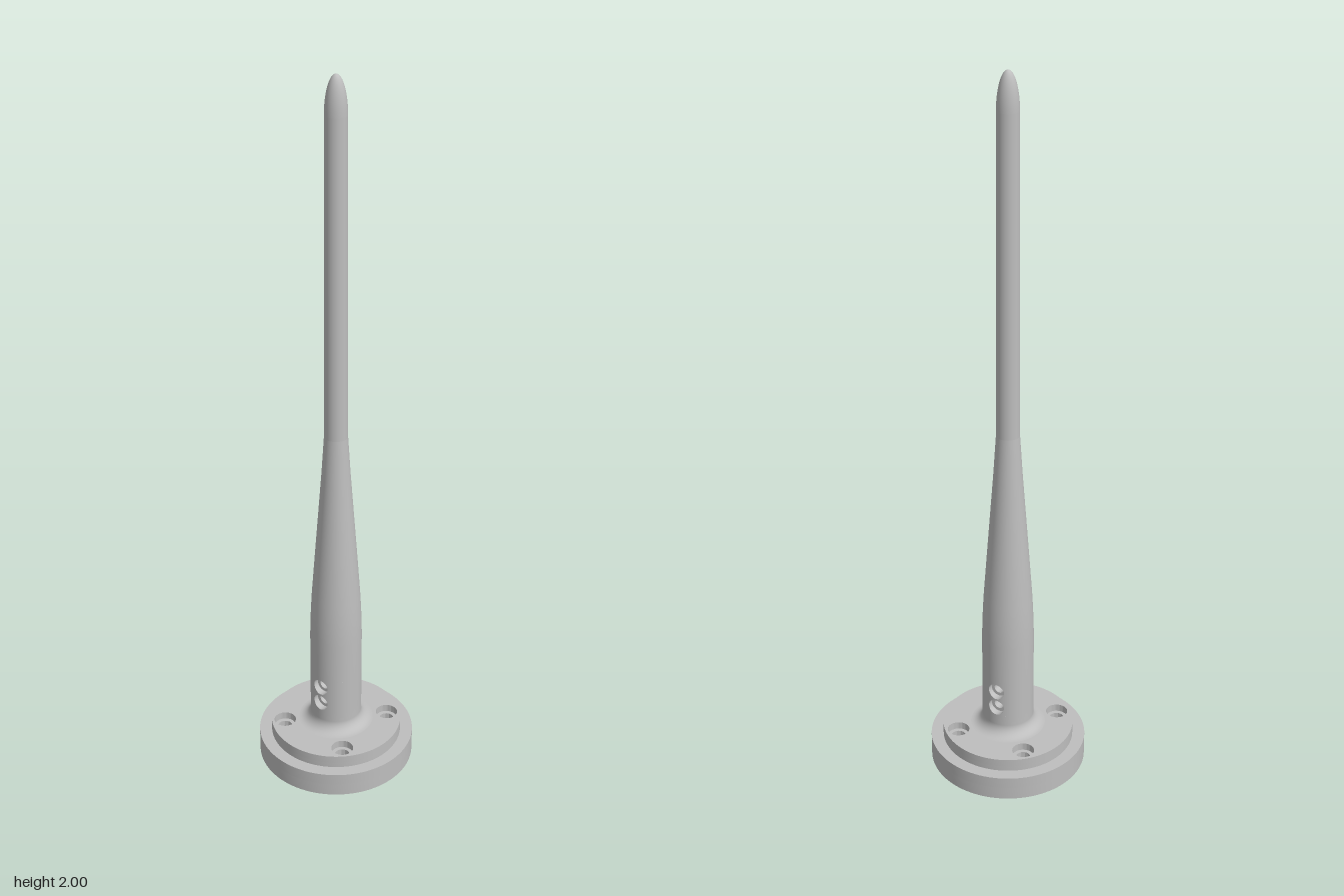
import * as THREE from 'three';
import { toCreasedNormals } from 'three/addons/utils/BufferGeometryUtils.js';

const R = 0.073;            // lower pole radius
const HOLE_YS = [0.198, 0.251];
const HALF = 0.0265;        // half size of the square skin patch round a hole
const BAND = [HOLE_YS[0] - HALF, HOLE_YS[1] + HALF];
const SEGS = 48;

export function createModel() {
  const model = new THREE.Group();
  const metal = new THREE.MeshStandardMaterial({ color: 0xbebebe });
  metal.name = 'grey metal';

  const add = (name, geometry, parent = model) => {
    const mesh = new THREE.Mesh(geometry, metal);
    mesh.name = name;
    parent.add(mesh);
    return mesh;
  };

  // Flat round layer with four bolt holes, or one large opening
  const layer = (name, radius, y0, y1, boltRadius, opening) => {
    const shape = new THREE.Shape().absarc(0, 0, radius, 0, Math.PI * 2);
    const cut = (x, y, r) => shape.holes.push(new THREE.Path().absarc(x, y, r, 0, Math.PI * 2, true));
    if (opening) cut(0, 0, opening);
    else for (const x of [-0.105, 0.105]) for (const y of [-0.105, 0.105]) cut(x, y, boltRadius);
    const g = new THREE.ExtrudeGeometry(shape, { depth: y1 - y0, bevelEnabled: false, curveSegments: 48 });
    g.rotateX(-Math.PI / 2).translate(0, y0, 0);
    add(name, toCreasedNormals(g, 0.6));
  };
  layer('baseRim', 0.222, 0, 0.037, 0, 0.187);
  layer('basePlate', 0.222, 0.037, 0.07, 0.02);
  layer('raisedDisc', 0.187, 0.07, 0.085, 0.02);
  layer('counterboredDisc', 0.187, 0.085, 0.107, 0.031);

  const lathe = (name, pts, start = 0, length = Math.PI * 2, segs = 64) =>
    add(name, new THREE.LatheGeometry(pts.map(p => new THREE.Vector2(...p)), segs, start, length));

  // Fillet from the disc into the pole
  const f = 0.034;
  const fillet = [];
  for (let i = 0; i <= 10; i++) {
    const a = (i / 10) * Math.PI / 2;
    fillet.push([R + f * (1 - Math.sin(a)), 0.107 + f * (1 - Math.cos(a))]);
  }
  lathe('poleFoot', [...fillet, [R, BAND[0]]]);

  // Pole band left and right of the cross holes
  const gap = Math.asin(HALF / R);
  for (const side of [0, 1])
    lathe('drilledBand', [[R, BAND[0]], [R, BAND[1]]], side * Math.PI + gap, Math.PI - 2 * gap, 32);

  // Tapered shaft, slim upper rod and rounded tip
  lathe('taperedShaft', [[R, BAND[1]], [R, 0.4], [0.0715, 0.46], [0.068, 0.53], [0.0585, 0.66],
    [0.048, 0.8], [0.039, 0.92], [0.032, 1.03]]);
  lathe('upperRod', [[0.032, 1.03], [0.029, 1.9]]);
  const tip = [];
  for (let i = 0; i <= 12; i++) {
    const a = (i / 12) * Math.PI / 2;
    tip.push([0.029 * Math.cos(a), 1.9 + 0.1 * Math.sin(a)]);
  }
  lathe('tip', tip);

  // Closed strip through a list of rings, each a function of the angle giving [x, y, z]
  const strip = rings => {
    const pos = [], index = [];
    rings.forEach((ring, r) => {
      for (let i = 0; i < SEGS; i++) {
        pos.push(...ring((i / SEGS) * Math.PI * 2));
        if (r === 0) continue;
        const j = (i + 1) % SEGS, a = (r - 1) * SEGS, c = r * SEGS;
        index.push(a + i, a + j, c + j, a + i, c + j, c + i);
      }
    });
    const g = new THREE.BufferGeometry();
    g.setAttribute('position', new THREE.Float32BufferAttribute(pos, 3));
    g.setIndex(index);
    g.computeVertexNormals();
    return g;
  };

  // Counterbored holes running through the pole, front half turned to make the back half
  const BORE = 0.024, INNER = 0.0145, FLOOR = 0.053;
  const circle = (r, z) => a => [r * Math.cos(a), r * Math.sin(a), z];
  const onPole = t => a => {
    const c = Math.cos(a), s = Math.sin(a);
    const square = HALF / Math.max(Math.abs(c), Math.abs(s));
    const r = square + (BORE - square) * t;
    return [r * c, r * s, Math.sqrt(R * R - r * r * c * c)];
  };
  for (const turn of [0, Math.PI]) {
    for (const y of HOLE_YS) {
      const hole = new THREE.Group();
      hole.name = 'crossHole';
      hole.position.y = y;
      hole.rotation.y = turn;
      model.add(hole);
      const skin = strip([onPole(0), onPole(0.5), onPole(1)]);
      const p = skin.attributes.position;
      for (let i = 0; i < p.count; i++) skin.attributes.normal.setXYZ(i, p.getX(i) / R, 0, p.getZ(i) / R);
      add('holeSkin', skin, hole);
      add('counterboreWall', strip([onPole(1), circle(BORE, FLOOR)]), hole);
      add('counterboreFloor', strip([circle(BORE, FLOOR), circle(INNER, FLOOR)]), hole);
      add('holeWall', strip([circle(INNER, FLOOR), circle(INNER, 0)]), hole);
    }
  }
  return model;
}
